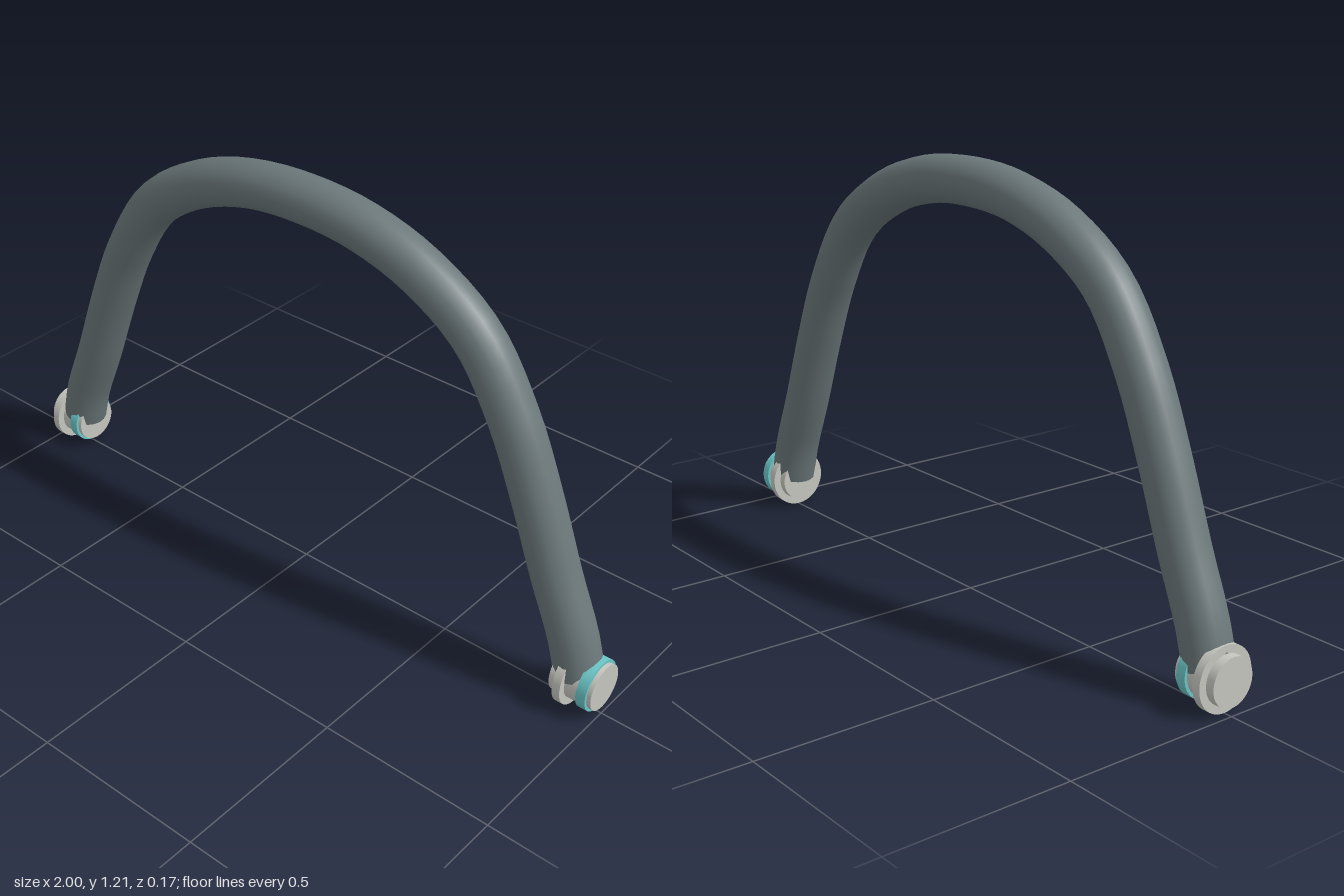
import * as THREE from 'three';

const hoseMat = new THREE.MeshStandardMaterial({ color: 0x6b7779 });
hoseMat.name = 'slate grey hose';
const metalMat = new THREE.MeshStandardMaterial({ color: 0xc6c6c0 });
metalMat.name = 'pale grey fitting';
const sealMat = new THREE.MeshStandardMaterial({ color: 0x6cc6c8 });
sealMat.name = 'turquoise seal';

const HOSE_R = 0.066;
const AXIS_Y = 0.087;

function part(name, geometry, material) {
  const mesh = new THREE.Mesh(geometry, material);
  mesh.name = name;
  return mesh;
}

// Disc lying along x, from x0 to x1
function disc(name, radius, x0, x1, material) {
  const g = new THREE.CylinderGeometry(radius, radius, x1 - x0, 40);
  g.rotateZ(-Math.PI / 2);
  g.translate((x0 + x1) / 2, 0, 0);
  return part(name, g, material);
}

// End fitting: plug body, wide flange and coloured seal; both ends face the same way
function fitting(name, x) {
  const group = new THREE.Group();
  group.name = name;
  group.add(
    disc('plugBody', 0.065, 0, 0.126, metalMat),
    disc('flange', 0.087, 0.024, 0.047, metalMat),
    disc('seal', 0.073, 0.086, 0.114, sealMat)
  );
  group.position.set(x, AXIS_Y, 0);
  return group;
}

function hose() {
  const group = new THREE.Group();
  group.name = 'hose';
  // Half of the arch centre line, mirrored for the other side
  const half = [
    [-0.922, 0.1], [-0.895, 0.2], [-0.83, 0.36], [-0.748, 0.58],
    [-0.665, 0.77], [-0.545, 0.952], [-0.37, 1.068], [-0.185, 1.127]
  ];
  const pts = [...half, [0, 1.143], ...half.map(([x, y]) => [-x, y]).reverse()];
  const curve = new THREE.CatmullRomCurve3(pts.map(([x, y]) => new THREE.Vector3(x, y, 0)));
  group.add(part('hoseTube', new THREE.TubeGeometry(curve, 64, HOSE_R, 20), hoseMat));

  // Closed ends
  for (const t of [0, 1]) {
    const dir = curve.getTangent(t).multiplyScalar(t ? 1 : -1);
    const cap = part('hoseEnd', new THREE.CircleGeometry(HOSE_R, 20), hoseMat);
    cap.position.copy(curve.getPoint(t));
    cap.quaternion.setFromUnitVectors(new THREE.Vector3(0, 0, 1), dir);
    group.add(cap);
  }
  return group;
}

export function createModel() {
  const model = new THREE.Group();
  model.name = 'archedHose';
  model.add(hose(), fitting('rightFitting', -1), fitting('leftFitting', 0.874));
  return model;
}
